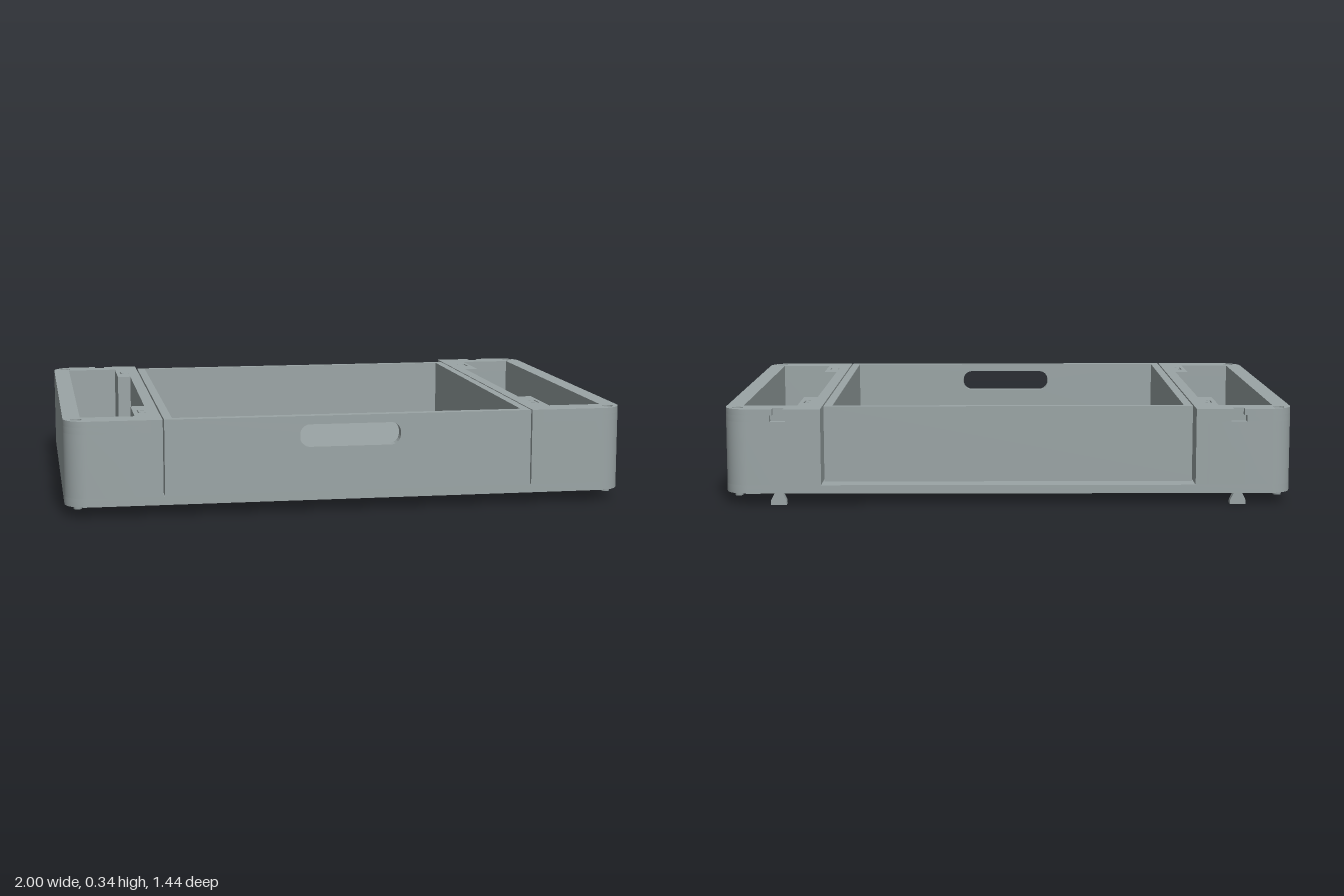
import * as THREE from 'three';
import { toCreasedNormals } from 'three/addons/utils/BufferGeometryUtils.js';

const BOTTOM = 0.04, FLOOR = 0.07, TOP = 0.34, DEPTH = 0.72;
const CORNER = 0.08;

export function createModel() {
  const model = new THREE.Group();
  model.name = 'drawerModule';
  const grey = new THREE.MeshStandardMaterial({ color: 0x9ba5a6 });
  grey.name = 'grey plastic';

  const add = (name, geometry, parent = model) => {
    const mesh = new THREE.Mesh(geometry, grey);
    mesh.name = name;
    parent.add(mesh);
    return mesh;
  };
  const box = (name, x0, x1, y0, y1, z0, z1, parent) =>
    add(name, new THREE.BoxGeometry(x1 - x0, y1 - y0, z1 - z0), parent)
      .position.set((x0 + x1) / 2, (y0 + y1) / 2, (z0 + z1) / 2);
  const polygon = (points, Type = THREE.Shape) => new Type(points.map(p => new THREE.Vector2(...p)));
  const rect = (x0, x1, y0, y1) => polygon([[x0, y0], [x1, y0], [x1, y1], [x0, y1]], THREE.Path);
  const extrude = (shape, depth) => toCreasedNormals(
    new THREE.ExtrudeGeometry(shape, { depth, bevelEnabled: false, curveSegments: 16 }), 0.5);
  // Plan shapes are drawn as (x, -z) and raised from y0 to y1
  const plan = (shape, y0, y1) => extrude(shape, y1 - y0).rotateX(-Math.PI / 2).translate(0, y0, 0);

  // Quarter-circle corner points around a centre
  const arc = (cx, cy, from) => Array.from({ length: 11 }, (_, i) => {
    const a = from + (i / 10) * Math.PI / 2;
    return [cx + CORNER * Math.cos(a), cy + CORNER * Math.sin(a)];
  });
  const outerRight = [
    ...arc(1 - CORNER, -DEPTH + CORNER, -Math.PI / 2),
    ...arc(1 - CORNER, DEPTH - CORNER, 0)
  ];
  const mirror = (points, s) => points.map(([x, y]) => [x * s, y]);

  // Base plate with the large centre opening and two side windows
  const base = polygon([...outerRight, ...outerRight.map(([x, y]) => [-x, -y])]);
  base.holes.push(rect(-0.65, 0.65, -0.6, 0.62), rect(0.7, 0.94, -0.395, 0.395),
    rect(-0.94, -0.7, -0.395, 0.395));
  add('basePlate', plan(base, BOTTOM, FLOOR));

  // Dovetail outline on the joint between a side frame and its rail
  const dovetail = (y, gap) => [
    [0.7, y - 0.016 - gap], [0.73 + gap, y - 0.03 - gap],
    [0.73 + gap, y + 0.03 + gap], [0.7, y + 0.016 + gap]
  ];

  // Layers of the side frames: the upper ones hold the back slot and peg holes
  const layers = [
    { y0: FLOOR, y1: 0.295, slot: 0, holes: false },
    { y0: 0.295, y1: 0.318, slot: 0.028, holes: false },
    { y0: 0.318, y1: TOP, slot: 0.019, holes: true }
  ];

  for (const [side, s] of [['left', 1], ['right', -1]]) {
    const frame = new THREE.Group();
    frame.name = side + 'Frame';
    model.add(frame);

    for (const { y0, y1, slot, holes } of layers) {
      const backSlot = slot
        ? [[0.81 + slot, DEPTH], [0.81 + slot, 0.69], [0.81 - slot, 0.69], [0.81 - slot, DEPTH]] : [];
      const outline = [
        [0.7, -DEPTH], ...outerRight, ...backSlot, [0.7, DEPTH],
        ...dovetail(0.52, 0.005).reverse(),
        [0.7, 0.395], [0.75, 0.395], [0.75, 0.625], [0.94, 0.625],
        [0.94, -0.625], [0.75, -0.625], [0.75, -0.395], [0.7, -0.395],
        ...dovetail(-0.52, 0.005).reverse()
      ];
      const shape = polygon(mirror(outline, s));
      if (holes) for (const y of [-0.67, 0.67]) {
        const hole = new THREE.Path();
        hole.absarc(s * 0.955, y, 0.02, 0, Math.PI * 2);
        shape.holes.push(hole);
      }
      add('sideFrame', plan(shape, y0, y1), frame);
    }

    // Rail with its two dovetail tongues
    const rail = [[0.66, -DEPTH], [0.7, -DEPTH], ...dovetail(-0.52, 0),
      ...dovetail(0.52, 0), [0.7, DEPTH], [0.66, DEPTH]];
    add('rail', plan(polygon(mirror(rail, s)), FLOOR, TOP), frame);

    // Locating pegs below the corners
    for (const z of [-0.67, 0.67]) {
      add('peg', new THREE.CylinderGeometry(0.016, 0.014, 0.014, 20), frame)
        .position.set(s * 0.955, 0.034, z);
    }

    // Stacking dovetail below the back edge
    const foot = polygon([[-0.028, 0], [0.028, 0], [0.028, 0.014], [0.015, 0.04],
      [-0.015, 0.04], [-0.028, 0.014]]);
    add('stackingFoot', extrude(foot, 0.03), frame).position.set(s * 0.81, 0, -DEPTH);
  }

  // Drawer
  const drawer = new THREE.Group();
  drawer.name = 'drawer';
  model.add(drawer);
  box('drawerFloor', -0.655, 0.655, FLOOR, 0.09, -0.645, 0.685, drawer);
  const walls = polygon([[-0.655, -0.685], [-0.625, -0.685], [-0.625, 0.618], [0.625, 0.618],
    [0.625, -0.685], [0.655, -0.685], [0.655, 0.645], [-0.655, 0.645]]);
  add('drawerWalls', plan(walls, 0.09, TOP), drawer);

  // Drawer front with a rounded grip slot
  const front = polygon([[-0.655, FLOOR], [0.655, FLOOR], [0.655, TOP], [-0.655, TOP]]);
  const grip = new THREE.Path();
  const r = 0.035;
  grip.absarc(0.18 - r, 0.23 + r, r, -Math.PI / 2, 0);
  grip.absarc(0.18 - r, 0.31 - r, r, 0, Math.PI / 2);
  grip.absarc(-0.18 + r, 0.31 - r, r, Math.PI / 2, Math.PI);
  grip.absarc(-0.18 + r, 0.23 + r, r, Math.PI, Math.PI * 1.5);
  front.holes.push(grip);
  add('drawerFront', extrude(front, 0.035), drawer).position.z = 0.685;

  return model;
}
